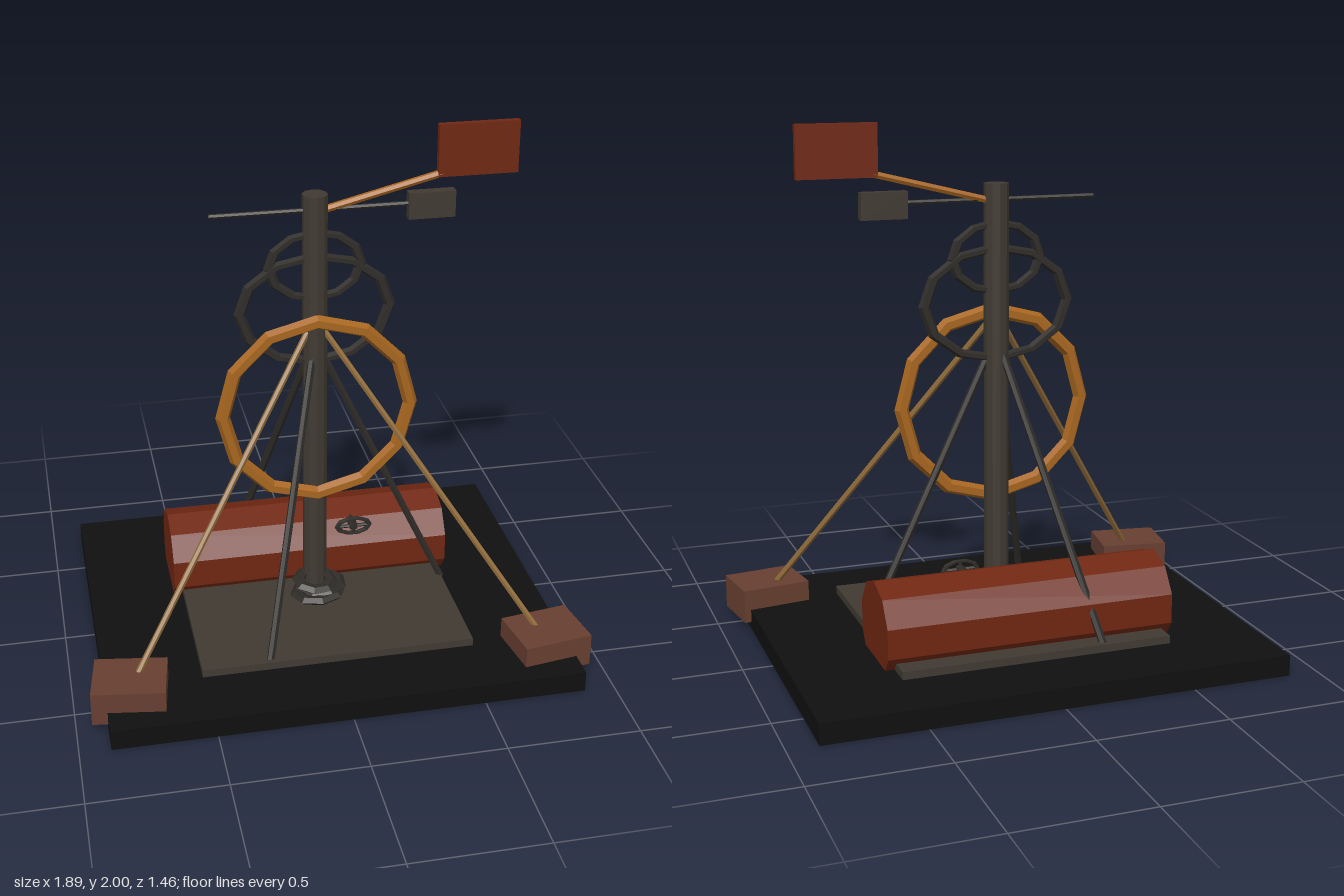
import * as THREE from 'three';

const mat = (name, color) => {
  const m = new THREE.MeshStandardMaterial({ color, flatShading: true });
  m.name = name;
  return m;
};

export function createModel() {
  const black = mat('black base', 0x101010);
  const steel = mat('weathered steel', 0x403a32);
  const iron = mat('dark iron', 0x2f2c28);
  const rust = mat('rust red', 0x702712);
  const copper = mat('copper', 0xa8661f);
  const rope = mat('tan rope', 0x8f6a38);
  const brick = mat('brick brown', 0x683f31);

  const model = new THREE.Group();
  const add = (name, geometry, material, x = 0, y = 0, z = 0) => {
    const mesh = new THREE.Mesh(geometry, material);
    mesh.name = name;
    mesh.position.set(x, y, z);
    model.add(mesh);
    return mesh;
  };
  const box = (name, w, h, d, material, x, y, z) =>
    add(name, new THREE.BoxGeometry(w, h, d), material, x, y, z);
  // straight rod between two points
  const rod = (name, a, b, r, material, sides = 6) => {
    const p = new THREE.Vector3(...a), q = new THREE.Vector3(...b);
    const dir = q.clone().sub(p);
    const mesh = add(name, new THREE.CylinderGeometry(r, r, dir.length(), sides), material);
    mesh.position.copy(p).add(q).multiplyScalar(0.5);
    mesh.quaternion.setFromUnitVectors(new THREE.Vector3(0, 1, 0), dir.normalize());
    return mesh;
  };
  // upright ring, optionally flattened in height
  const ring = (name, outer, tube, flat, sides, material, x, y, z) => {
    const mesh = add(name, new THREE.TorusGeometry(outer - tube, tube, 6, sides), material, x, y, z);
    mesh.scale.y = flat;
    return mesh;
  };

  // ground slab and mounting plate
  box('baseSlab', 1.77, 0.08, 1.46, black, 0, 0.04, 0);
  box('mountingPlate', 1.04, 0.03, 0.95, steel, 0, 0.095, 0);

  // mast and its tripod
  add('mast', new THREE.CylinderGeometry(0.047, 0.047, 1.66, 10), steel, 0, 0.94, 0);
  for (let i = 0; i < 3; i++) {
    const a = (i * Math.PI * 2) / 3;
    rod('tripodLeg', [0, 1.2, 0], [0.52 * Math.cos(a), 0.1, 0.52 * Math.sin(a)], 0.015, iron);
  }

  // loose coil around the foot of the mast
  [[0, 0.13, 0.06, 0.085], [0.015, 0.15, 0.03, 0.08], [-0.01, 0.175, 0.05, 0.065]].forEach(([x, y, z, r], i) => {
    const coil = add('footCoil', new THREE.TorusGeometry(r, 0.027, 5, 8), iron, x, y, z);
    coil.rotation.set(Math.PI / 2 + 0.08 * (i - 1), 0.06 * (1 - i), i * 0.5);
    coil.scale.z = 0.6;
  });

  // lying tank with a handwheel on its front
  const tank = add('tank', new THREE.CylinderGeometry(0.182, 0.182, 1.11, 10), rust, 0, 0.19, -0.238);
  tank.rotation.set(Math.PI / 2, 0, Math.PI / 2);
  tank.rotation.order = 'ZXY';
  tank.rotation.set(0, Math.PI / 2, Math.PI / 2);
  ring('handwheel', 0.077, 0.012, 0.52, 10, iron, 0.175, 0.325, -0.085);
  rod('handwheelSpoke', [0.11, 0.325, -0.085], [0.24, 0.325, -0.085], 0.007, iron);
  rod('handwheelSpoke', [0.175, 0.29, -0.085], [0.175, 0.36, -0.085], 0.007, iron);
  rod('handwheelStem', [0.175, 0.325, -0.075], [0.175, 0.325, -0.17], 0.018, iron);

  // rings hung on the mast
  ring('copperRing', 0.388, 0.028, 1, 12, copper, 0, 0.93, 0.045);
  ring('largeIronRing', 0.305, 0.022, 0.74, 12, iron, 0, 1.322, 0);
  ring('smallIronRing', 0.192, 0.02, 0.74, 12, iron, 0, 1.495, 0);

  // cross arm with counterweight, and tail vane
  rod('crossArm', [-0.385, 1.71, 0], [0.36, 1.71, 0], 0.009, iron);
  box('counterweight', 0.175, 0.1, 0.04, steel, 0.432, 1.703, 0);
  rod('vaneArm', [0, 1.7, 0], [0.47, 1.817, 0], 0.014, copper);
  box('tailVane', 0.3, 0.195, 0.027, rust, 0.602, 1.9025, 0);

  // front guy ropes and their anchor blocks
  for (const s of [-1, 1]) {
    rod('guyRope', [0, 1.29, 0], [s * 0.76, 0.15, 0.5], 0.012, rope);
    box('anchorBlock', 0.27, 0.13, 0.22, brick, s * 0.793, 0.095, 0.523).rotation.y = s * 0.15;
  }
  return model;
}
